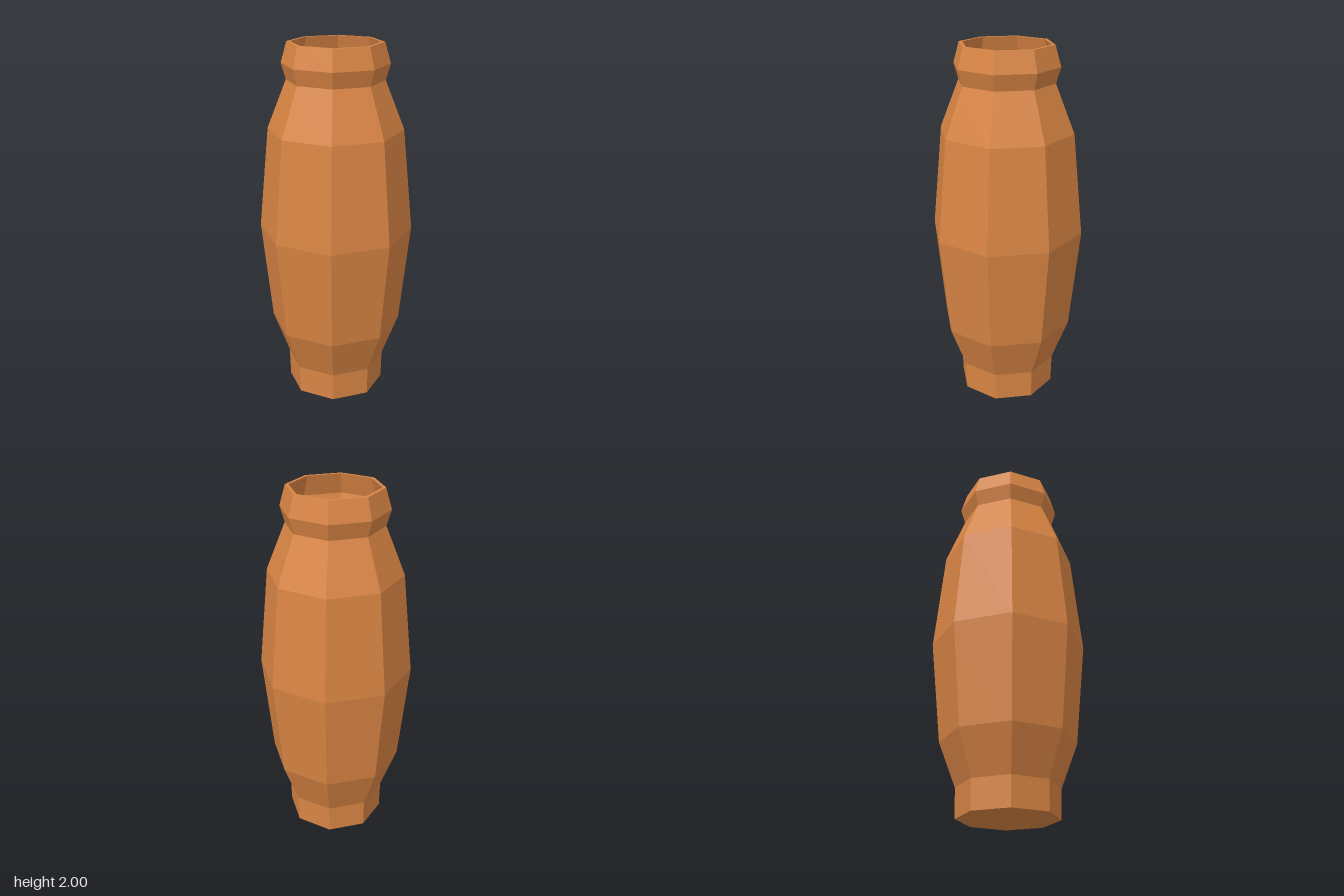
import * as THREE from 'three';

const SIDES = 8;

// Turn a [radius, height] profile into a faceted eight-sided shell.
function facetedLathe(name, profile, material) {
  const points = profile.map(([r, y]) => new THREE.Vector2(r, y));
  const mesh = new THREE.Mesh(new THREE.LatheGeometry(points, SIDES), material);
  mesh.name = name;
  return mesh;
}

export function createModel() {
  const group = new THREE.Group();
  group.name = 'vase';

  const clay = new THREE.MeshStandardMaterial({ color: 0xd98544 });
  clay.name = 'terracotta';
  clay.flatShading = true;

  // Outer wall: slightly pointed base, foot, belly, neck and flared collar.
  const outer = [
    [0, 0], [0.27, 0.03], [0.274, 0.19], [0.364, 0.43], [0.42, 0.99],
    [0.364, 1.545], [0.26, 1.805], [0.285, 1.89], [0.253, 2],
  ];

  // Inner wall follows the outer one at a constant thickness, down to the floor.
  const wall = 0.018;
  const inner = outer.slice(1).reverse().map(([r, y]) => [r - wall, y]);
  inner[inner.length - 1][1] = 0.05;
  inner.push([0, 0.05]);

  group.add(facetedLathe('outerWall', outer, clay));
  group.add(facetedLathe('rim', [outer.at(-1), inner[0]], clay));
  group.add(facetedLathe('innerWall', inner, clay));
  return group;
}
